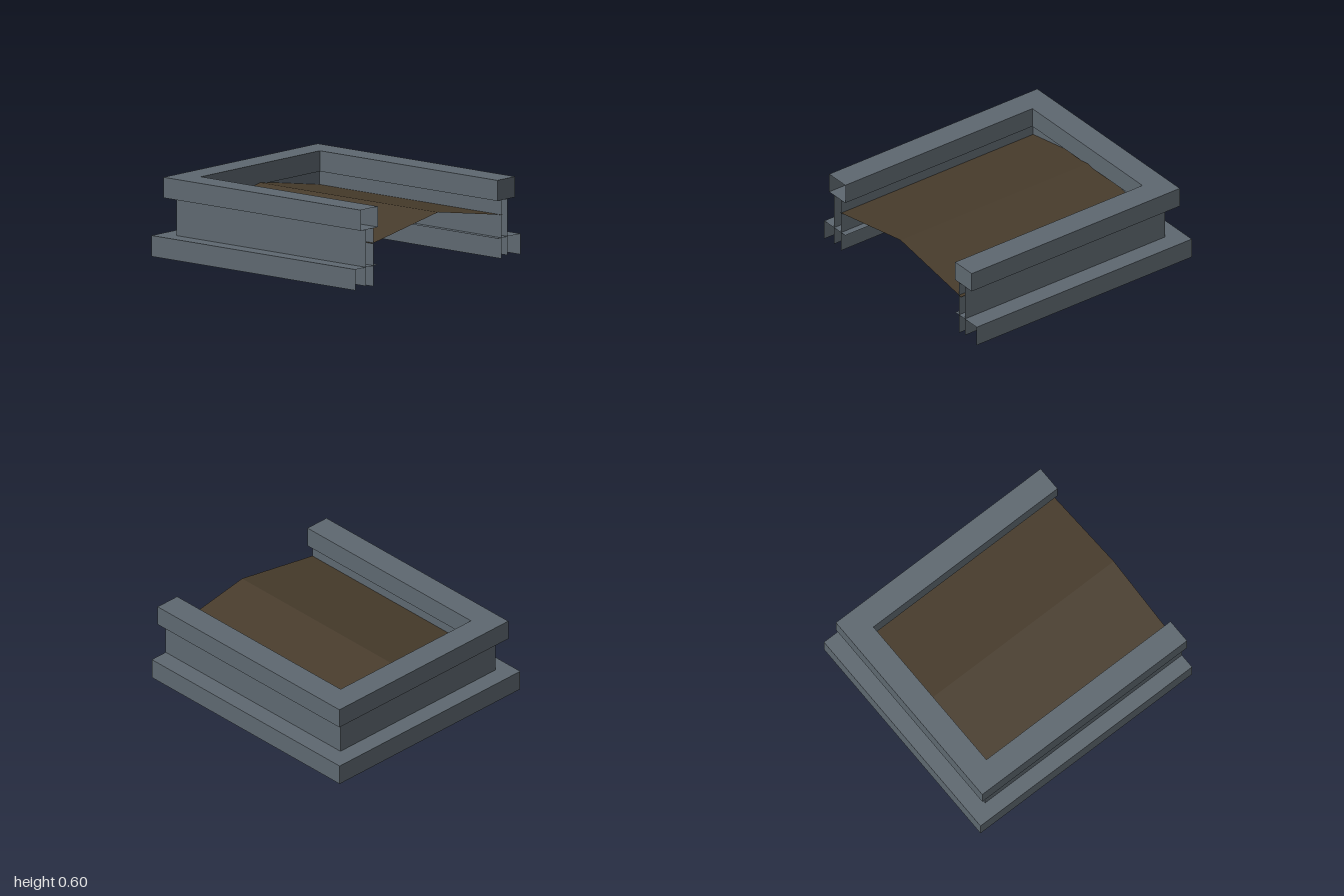
import * as THREE from 'three';

const stone = new THREE.MeshStandardMaterial({ color: 0x5e6870, side: THREE.DoubleSide });
stone.name = 'slate grey';
const roofing = new THREE.MeshStandardMaterial({ color: 0x483c2c, side: THREE.DoubleSide });
roofing.name = 'dark brown';

const FRONT = 1;

// Surface through two rows of points, flat between neighbours
function strip(name, rowA, rowB, material) {
  const pos = [];
  for (let i = 0; i < rowA.length - 1; i++) {
    const a = rowA[i], b = rowA[i + 1], c = rowB[i + 1], d = rowB[i];
    pos.push(...a, ...b, ...c, ...a, ...c, ...d);
  }
  const geo = new THREE.BufferGeometry();
  geo.setAttribute('position', new THREE.Float32BufferAttribute(pos, 3));
  geo.computeVertexNormals();
  const mesh = new THREE.Mesh(geo, material);
  mesh.name = name;
  return mesh;
}

// U-shaped path, open at the front: left x, right x, back z
const uPath = ([x0, x1, zb], y) => [[x0, y, FRONT], [x0, y, zb], [x1, y, zb], [x1, y, FRONT]];

export function createModel() {
  const model = new THREE.Group();
  model.name = 'parapetRoof';

  // Plan outlines of each sheet
  const baseOuter = [-0.925, 0.925, -1];
  const capOuter = [-0.865, 0.865, -0.935];
  const wallOuter = [-0.805, 0.782, -0.86];
  const wallInner = [-0.72, 0.71, -0.785];
  const lip = [-0.67, 0.665, -0.74];

  // name, outline and height of the upper row, then of the lower row (top faces run inner to outer)
  const sheets = [
    ['baseFace', baseOuter, 0.157, baseOuter, 0],
    ['baseLedge', lip, 0.157, baseOuter, 0.157],
    ['outerWall', wallOuter, 0.44, wallOuter, 0.015],
    ['innerWall', wallInner, 0.44, wallInner, 0],
    ['capOuterFace', capOuter, 0.595, capOuter, 0.44],
    ['capTop', lip, 0.595, capOuter, 0.595],
    ['capInnerFace', lip, 0.595, lip, 0.44],
    ['capUnderside', capOuter, 0.44, lip, 0.44],
  ];
  for (const [name, a, ya, b, yb] of sheets) {
    model.add(strip(name, uPath(a, ya), uPath(b, yb), stone));
  }

  // End plate closing one arm of the cap
  model.add(strip('capEnd',
    [[lip[1], 0.44, FRONT], [capOuter[1], 0.44, FRONT]],
    [[lip[1], 0.595, FRONT], [capOuter[1], 0.595, FRONT]], stone));

  // Shallow pitched roof with its ridge along z
  const roofRow = (z) => [[-0.735, 0.325, z], [0, 0.453, z], [0.735, 0.325, z]];
  model.add(strip('pitchedRoof', roofRow(FRONT), roofRow(-0.785), roofing));

  return model;
}
